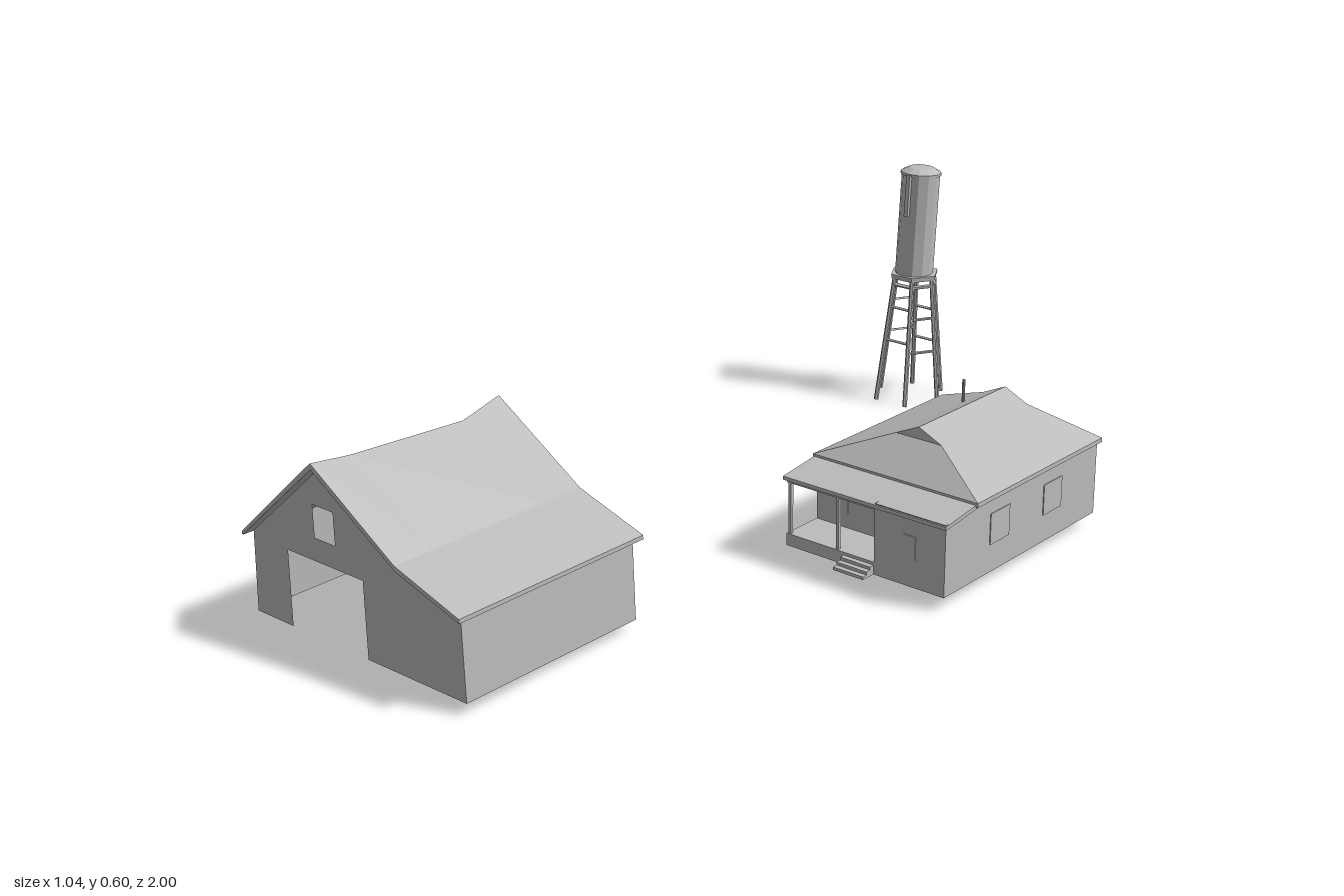
import * as THREE from 'three';

const grey = new THREE.MeshStandardMaterial({ color: 0xbcbcbc, flatShading: true, side: THREE.DoubleSide });
grey.name = 'weathered grey';

function add(parent, name, geometry, x = 0, y = 0, z = 0) {
  const mesh = new THREE.Mesh(geometry, grey);
  mesh.name = name;
  mesh.position.set(x, y, z);
  parent.add(mesh);
  return mesh;
}

// Box given by its minimum and maximum corners
function box(parent, name, [x0, y0, z0], [x1, y1, z1]) {
  return add(parent, name, new THREE.BoxGeometry(x1 - x0, y1 - y0, z1 - z0),
    (x0 + x1) / 2, (y0 + y1) / 2, (z0 + z1) / 2);
}

// Round bar between two points
function bar(parent, name, a, b, r, sides = 6) {
  const d = b.clone().sub(a);
  const mesh = add(parent, name, new THREE.CylinderGeometry(r, r, d.length(), sides));
  mesh.position.copy(a).add(b).multiplyScalar(0.5);
  mesh.quaternion.setFromUnitVectors(new THREE.Vector3(0, 1, 0), d.normalize());
  return mesh;
}

// Skin between closed rings of equal size, optionally capped
function loft(rings, capOutline) {
  const pos = [], n = rings[0].length;
  for (let i = 0; i + 1 < rings.length; i++) {
    for (let j = 0; j < n; j++) {
      const k = (j + 1) % n, a = rings[i][j], b = rings[i][k], c = rings[i + 1][k], d = rings[i + 1][j];
      pos.push(...a, ...b, ...c, ...a, ...c, ...d);
    }
  }
  if (capOutline) {
    const tris = THREE.ShapeUtils.triangulateShape(capOutline.map(p => new THREE.Vector2(...p)), []);
    for (const ring of [rings[0], rings[rings.length - 1]]) {
      for (const t of tris) t.forEach(v => pos.push(...ring[v]));
    }
  }
  const g = new THREE.BufferGeometry();
  g.setAttribute('position', new THREE.Float32BufferAttribute(pos, 3));
  g.computeVertexNormals();
  return g;
}

// Flat wall in the xy plane, with rectangular holes
function wall(outline, holes = []) {
  const shape = new THREE.Shape(outline.map(p => new THREE.Vector2(...p)));
  for (const [x0, y0, x1, y1] of holes) {
    shape.holes.push(new THREE.Path([[x0, y0], [x0, y1], [x1, y1], [x1, y0]].map(p => new THREE.Vector2(...p))));
  }
  return new THREE.ShapeGeometry(shape);
}

function buildBarn() {
  const barn = new THREE.Group();
  barn.name = 'barn';
  // Sagging roof slab: [z, ridge height]
  const ridge = [[0.995, 0.408], [0.9, 0.396], [0.61, 0.381], [0.51, 0.407]];
  const section = top => [[-0.522, 0.205], [-0.29, top], [-0.065, 0.263], [0.105, 0.208],
    [0.105, 0.199], [-0.065, 0.252], [-0.29, top - 0.013], [-0.522, 0.196]];
  const rings = ridge.map(([z, top]) => section(top).map(([x, y]) => [x, y, z]));
  add(barn, 'barnRoof', loft(rings, section(0.4)));
  // Gable ends with doorways
  const gable = [[-0.515, 0.027], [-0.405, 0.027], [-0.402, 0.193], [-0.18, 0.193], [-0.18, 0.027],
    [0.094, 0.027], [0.09, 0.204], [-0.065, 0.255], [-0.29, 0.39], [-0.507, 0.205]];
  add(barn, 'frontGable', wall(gable, [[-0.315, 0.243, -0.255, 0.312]]), 0, 0, 0.978);
  add(barn, 'backGable', wall(gable), 0, 0, 0.525);
  // Long side walls, leaning slightly inwards
  for (const [name, x0, x1] of [['rightWall', -0.515, -0.507], ['leftWall', 0.094, 0.09]]) {
    add(barn, name, loft([
      [[x0, 0.027, 0.525], [x0, 0.027, 0.978]],
      [[x1, 0.204, 0.525], [x1, 0.204, 0.978]]]));
  }
  return barn;
}

function buildHouse() {
  const house = new THREE.Group();
  house.name = 'house';
  const X0 = 0.103, X1 = 0.514, XP = 0.336, ZB = -0.505, ZP = -0.04, ZF = 0.064, Y0 = 0.032;
  // Walls around an L-shaped plan with a porch in the front corner
  const plan = [[X0, ZB], [X0, ZP], [XP, ZP], [XP, ZF], [X1, ZF], [X1, ZB]];
  add(house, 'houseWalls', loft([Y0, 0.192].map(y => plan.map(([x, z]) => [x, y, z]))));
  const upper = [[X0, ZB], [X0, ZP], [X1, ZP], [X1, ZB]];
  add(house, 'wallTop', loft([0.192, 0.205].map(y => upper.map(([x, z]) => [x, y, z]))));

  // Hip roof with small gablets and a short ridge
  const rect = (x0, x1, z0, z1, y) => [[x0, y, z0], [x0, y, z1], [x1, y, z1], [x1, y, z0]];
  add(house, 'houseRoof', loft([
    rect(0.092, 0.52, -0.515, -0.038, 0.198),
    rect(0.092, 0.52, -0.515, -0.038, 0.208),
    rect(0.255, 0.372, -0.438, -0.115, 0.274),
    rect(0.314, 0.314, -0.438, -0.115, 0.301)]));
  // Porch roof
  const slab = [[-0.04, 0.203], [0.067, 0.19], [0.067, 0.182], [-0.04, 0.194]];
  add(house, 'porchRoof', loft([0.095, 0.516].map(x => slab.map(([z, y]) => [x, y, z])), slab));

  // Porch floor, beam and posts
  box(house, 'porchFloor', [X0, Y0, ZP], [XP, 0.06, ZF]);
  box(house, 'porchBeam', [X0, 0.177, 0.056], [XP, 0.186, 0.063]);
  for (const x of [0.106, 0.234]) box(house, 'porchPost', [x, 0.06, 0.054], [x + 0.007, 0.18, 0.061]);

  // Front and back steps
  for (let i = 0; i < 3; i++) {
    const y = Y0 + i * 0.007, out = 0.036 - i * 0.012;
    box(house, 'frontStep', [0.257, y, ZF], [0.336, y + 0.007, ZF + out]);
    box(house, 'backStep', [0.35, y, ZB - out - 0.006], [0.408, y + 0.007, ZB]);
  }

  // Doors and windows as thin plates
  const T = 0.002;
  box(house, 'frontDoor', [0.247, 0.062, ZP], [0.3, 0.173, ZP + T]);
  box(house, 'porchWindow', [0.145, 0.093, ZP], [0.187, 0.173, ZP + T]);
  box(house, 'frontWindow', [0.411, 0.095, ZF], [0.441, 0.146, ZF + T]);
  box(house, 'backDoor', [0.357, 0.055, ZB - T], [0.403, 0.168, ZB]);
  for (const z of [-0.13, -0.33]) {
    box(house, 'leftWindow', [X1, 0.095, z - 0.035], [X1 + T, 0.165, z + 0.035]);
    box(house, 'rightWindow', [X0 - T, 0.095, z - 0.035], [X0, 0.165, z + 0.035]);
  }
  // Stove pipe
  add(house, 'stovePipe', new THREE.CylinderGeometry(0.0035, 0.0035, 0.065, 8), 0.26, 0.295, -0.355);
  return house;
}

function buildWaterTower() {
  const tower = new THREE.Group();
  tower.name = 'waterTower';
  // Point on one of six splayed legs at height y
  const legPoint = (i, y) => {
    const a = i * Math.PI / 3, t = y / 0.32, r = 0.091 - 0.037 * t;
    return new THREE.Vector3(-0.293 + r * Math.cos(a), y, -0.917 - 0.013 * t + r * Math.sin(a));
  };
  for (let i = 0; i < 6; i++) {
    bar(tower, 'leg', legPoint(i, 0.003), legPoint(i, 0.32), 0.0058);
    const stagger = i % 2 ? 0.012 : -0.012;
    for (const y of [0.15, 0.235]) {
      bar(tower, 'brace', legPoint(i, y + stagger), legPoint(i + 1, y + stagger), 0.0036, 4);
    }
    bar(tower, 'platformRim', legPoint(i, 0.305), legPoint(i + 1, 0.305), 0.005, 4);
  }
  // Hexagonal platform
  const platform = add(tower, 'platform', new THREE.CylinderGeometry(0.064, 0.062, 0.012, 6), -0.293, 0.326, -0.93);
  platform.rotation.y = Math.PI / 6 * 3;

  // Leaning tank with a shallow domed lid
  const tank = new THREE.Group();
  tank.name = 'tank';
  tank.position.set(-0.293, 0.33, -0.928);
  tank.rotation.set(-0.04, 0, -0.026);
  const profile = [[0, 0], [0.048, 0], [0.048, 0.255], [0.051, 0.255], [0.051, 0.262], [0.03, 0.273], [0, 0.275]];
  add(tank, 'tankBody', new THREE.LatheGeometry(profile.map(p => new THREE.Vector2(...p)), 12));
  box(tank, 'levelGauge', [-0.005, 0.155, 0.044], [0.006, 0.26, 0.055]);
  tower.add(tank);
  return tower;
}

export function createModel() {
  const model = new THREE.Group();
  model.name = 'farmstead';
  model.add(buildBarn(), buildHouse(), buildWaterTower());
  return model;
}
